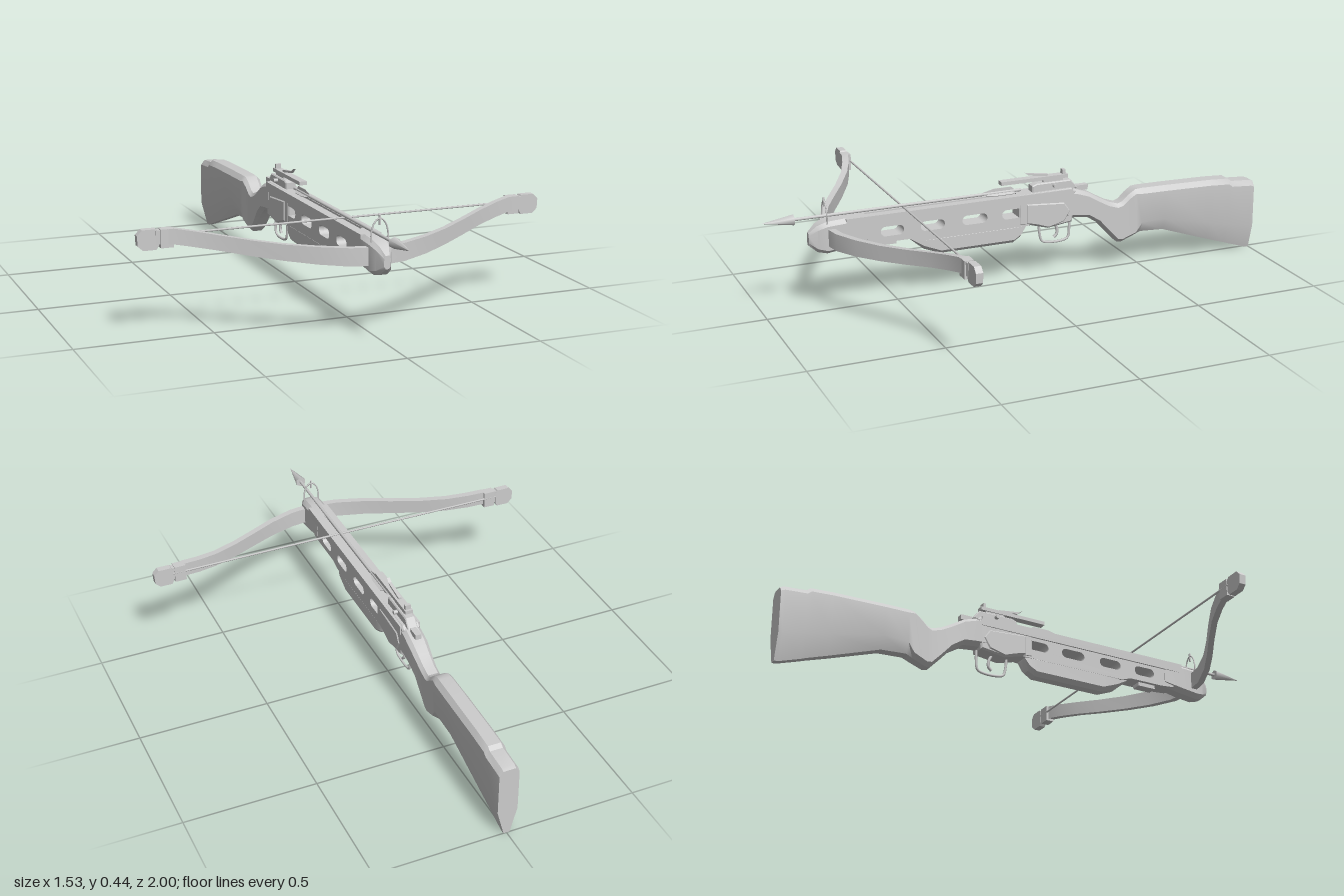
import * as THREE from 'three';
import { toCreasedNormals, mergeVertices } from 'three/addons/utils/BufferGeometryUtils.js';

const material = new THREE.MeshStandardMaterial({ color: 0xcccccc });
const thin = new THREE.MeshStandardMaterial({ color: 0xcccccc, side: THREE.DoubleSide });

function add(parent, name, geometry, mat = material) {
  const mesh = new THREE.Mesh(geometry, mat);
  mesh.name = name;
  parent.add(mesh);
  return mesh;
}

// Skin a list of closed rings of [x, y, z] points, capped at both ends.
function loft(rings, crease = 0.5) {
  const n = rings[0].length, index = [], last = (rings.length - 1) * n;
  for (let i = 0; i < rings.length - 1; i++) {
    for (let j = 0; j < n; j++) {
      const a = i * n + j, b = i * n + (j + 1) % n;
      index.push(a, a + n, b, b, a + n, b + n);
    }
  }
  for (let k = 1; k < n - 1; k++) index.push(0, k, k + 1, last, last + k + 1, last + k);
  const g = new THREE.BufferGeometry();
  g.setAttribute('position', new THREE.Float32BufferAttribute(rings.flat(2), 3));
  g.setIndex(index);
  return toCreasedNormals(g, crease);
}

// Chamfered section: z, top, bottom, half width, top chamfer, bottom chamfer.
function section([z, top, bot, w, ct = 0.015, cb = 0.015, topW = 0.62, botW = 0.5]) {
  const half = [[w * botW, bot], [w, bot + cb], [w, top - ct], [w * topW, top]];
  return [...half, ...half.map(([x, y]) => [-x, y]).reverse()].map(([x, y]) => [x, y, z]);
}

// Side outline given as [z, y] points, extruded across x.
function side(points, halfWidth, bevel = 0, holes = []) {
  const shape = new THREE.Shape(points.map(p => new THREE.Vector2(...p)));
  shape.holes = holes;
  const depth = 2 * (halfWidth - bevel);
  const g = new THREE.ExtrudeGeometry(shape, {
    depth, bevelEnabled: bevel > 0, bevelSize: bevel, bevelThickness: bevel,
    bevelOffset: -bevel, bevelSegments: 1, curveSegments: 8,
  });
  return g.translate(0, 0, -depth / 2).rotateY(-Math.PI / 2);
}

function slot(z0, z1, y0, y1) {
  const r = (y1 - y0) / 2, y = (y0 + y1) / 2, p = new THREE.Path();
  p.absarc(z1 - r, y, r, -Math.PI / 2, Math.PI / 2);
  p.absarc(z0 + r, y, r, Math.PI / 2, Math.PI * 1.5);
  p.closePath();
  return p;
}

function box(w, h, d, x, y, z) {
  return new THREE.BoxGeometry(w, h, d).translate(x, y, z);
}

function tube(points, radius, segments = 24, closed = false) {
  const curve = new THREE.CatmullRomCurve3(points.map(p => new THREE.Vector3(...p)), closed);
  return new THREE.TubeGeometry(curve, segments, radius, 6, closed);
}

// Cylinder or cone lying along z, from z0 to z1.
function rod(z0, z1, r0, r1, y, sides = 8) {
  return new THREE.CylinderGeometry(r1, r0, z1 - z0, sides).rotateX(Math.PI / 2).translate(0, y, (z0 + z1) / 2);
}

export function createModel() {
  const model = new THREE.Group();
  model.name = 'crossbow';

  // Shoulder stock with wrist and pistol grip
  const stock = [
    [-0.18, 0.36, 0.24, 0.037], [-0.22, 0.352, 0.238, 0.037], [-0.27, 0.335, 0.232, 0.038],
    [-0.32, 0.305, 0.2, 0.034], [-0.36, 0.283, 0.155, 0.032], [-0.4, 0.27, 0.113, 0.031],
    [-0.42, 0.277, 0.11, 0.032], [-0.445, 0.3, 0.12, 0.034], [-0.475, 0.32, 0.132, 0.037],
    [-0.5, 0.322, 0.143, 0.039, 0.02, 0.04], [-0.6, 0.321, 0.137, 0.04, 0.02, 0.05, 0.62, 0.45],
    [-0.8, 0.317, 0.068, 0.04, 0.02, 0.075, 0.62, 0.38], [-0.885, 0.312, 0.04, 0.04, 0.02, 0.085, 0.62, 0.34],
    [-0.9, 0.3, 0.034, 0.04, 0.02, 0.09, 0.62, 0.32], [-0.985, 0.294, 0.006, 0.04, 0.02, 0.1, 0.62, 0.3],
    [-1, 0.288, 0.006, 0.038, 0.02, 0.1, 0.62, 0.3],
  ];
  add(model, 'stock', loft(stock.map(section), 0.6));

  // Receiver with raised side panel
  add(model, 'receiver', side([[0.02, 0.36], [0.02, 0.24], [-0.03, 0.235], [-0.1, 0.215],
    [-0.2, 0.228], [-0.215, 0.35], [-0.2, 0.362]], 0.036, 0.006));
  add(model, 'receiverPanel', side([[-0.01, 0.322], [-0.01, 0.245], [-0.05, 0.235], [-0.1, 0.218],
    [-0.165, 0.235], [-0.19, 0.275], [-0.165, 0.31]], 0.04, 0.004));

  // Fore-end with four slots, and the rail on top of it
  const slots = [[0.48, 0.57], [0.32, 0.415], [0.15, 0.25], [0.0, 0.09]].map(([a, b]) => slot(a, b, 0.273, 0.31));
  add(model, 'foreEnd', side([[0.66, 0.328], [0.66, 0.255], [0.6, 0.25], [0.46, 0.25],
    [0.42, 0.236], [-0.02, 0.236], [-0.02, 0.328]], 0.034, 0, slots));
  add(model, 'railLeft', box(0.034, 0.036, 0.9, 0.023, 0.342, 0.25));
  add(model, 'railRight', box(0.034, 0.036, 0.9, -0.023, 0.342, 0.25));
  add(model, 'railGroove', box(0.014, 0.022, 0.9, 0, 0.336, 0.25));
  add(model, 'slingBlock', box(0.04, 0.03, 0.075, 0, 0.25, 0.543));

  // Hand grip below the fore-end
  add(model, 'handGrip', loft([
    [0.45, 0.25, 0.24, 0.02, 0.003, 0.003], [0.4, 0.25, 0.198, 0.032], [0.335, 0.25, 0.172, 0.034],
    [0.04, 0.25, 0.172, 0.034], [0.01, 0.25, 0.19, 0.032], [-0.01, 0.25, 0.23, 0.028, 0.004, 0.004],
  ].map(section)));

  // Tapered nose holding the bow
  add(model, 'nose', loft([
    [0.835, 0.315, 0.268, 0.012, 0.01, 0.01], [0.805, 0.342, 0.242, 0.028], [0.77, 0.356, 0.234, 0.04],
    [0.7, 0.36, 0.243, 0.04], [0.62, 0.36, 0.257, 0.036],
  ].map(section)));

  // Recurved bow, mirrored from half stations: x, z, bottom, top
  const halfBow = [[0, 0.762, 0.266, 0.33], [0.1, 0.747, 0.268, 0.332], [0.2, 0.707, 0.275, 0.336],
    [0.3, 0.652, 0.284, 0.341], [0.4, 0.592, 0.296, 0.351], [0.5, 0.537, 0.312, 0.366],
    [0.58, 0.505, 0.325, 0.38], [0.64, 0.488, 0.335, 0.39], [0.7, 0.478, 0.338, 0.386]];
  const bow = [...halfBow.slice(1).reverse().map(([x, ...r]) => [-x, ...r]), ...halfBow];
  add(model, 'bow', loft(bow.map(([x, z, lo, hi]) => {
    const t = 0.013;
    return [[x, lo, z + t], [x, hi, z + t], [x, hi, z - t], [x, lo, z - t]];
  })));

  // Bow tips and string
  for (const s of [1, -1]) {
    const outline = [[0.69, 0.332], [0.698, 0.319], [0.745, 0.319], [0.764, 0.336],
      [0.766, 0.372], [0.748, 0.391], [0.698, 0.391], [0.69, 0.38]];
    const shape = new THREE.Shape(outline.map(([x, y]) => new THREE.Vector2(s * x, y)));
    const tip = new THREE.ExtrudeGeometry(shape, { depth: 0.026, bevelEnabled: false });
    add(model, s > 0 ? 'leftTip' : 'rightTip', tip.translate(0, 0, 0.464));
    add(model, 'tipCollar', box(0.045, 0.065, 0.034, s * 0.662, 0.357, 0.481));
  }
  add(model, 'string', new THREE.CylinderGeometry(0.004, 0.004, 1.38, 6).rotateZ(Math.PI / 2).translate(0, 0.363, 0.467));

  // Bolt: shaft, head and fletching
  const bolt = new THREE.Group();
  bolt.name = 'bolt';
  model.add(bolt);
  add(bolt, 'shaft', rod(0.0, 0.9, 0.006, 0.006, 0.372));
  add(bolt, 'head', rod(0.885, 1, 0.021, 0.001, 0.372, 6));
  for (let i = 0; i < 3; i++) {
    const vane = side([[0.165, 0.004], [0.11, 0.017], [0.04, 0.017], [0.025, 0.004]], 0.0015);
    add(bolt, 'vane', vane.rotateZ(i * Math.PI * 2 / 3).translate(0, 0.372, 0));
  }

  // Front sight hoop with bead post
  add(model, 'frontSightHoop', tube([[-0.03, 0.345, 0.77], [-0.031, 0.38, 0.77], [-0.02, 0.415, 0.77],
    [0, 0.43, 0.77], [0.02, 0.415, 0.77], [0.031, 0.38, 0.77], [0.03, 0.345, 0.77]], 0.003));
  add(model, 'frontSightBead', box(0.006, 0.035, 0.006, 0, 0.424, 0.77));

  // Sight base and plate over the receiver
  add(model, 'sightBase', side([[-0.04, 0.355], [-0.04, 0.385], [-0.06, 0.392], [-0.2, 0.392], [-0.23, 0.355]], 0.02, 0.004));
  add(model, 'sightPlate', box(0.03, 0.014, 0.275, 0, 0.408, -0.053));
  add(model, 'sightFoot', box(0.022, 0.025, 0.08, 0, 0.395, -0.13));
  add(model, 'sightLeaf', side([[-0.005, 0.445], [-0.02, 0.434], [-0.11, 0.422], [-0.11, 0.413], [-0.03, 0.425]], 0.006));
  add(model, 'rearSight', box(0.022, 0.022, 0.012, 0, 0.422, -0.175));
  add(model, 'cockingPin', new THREE.CylinderGeometry(0.008, 0.008, 0.072, 8).rotateZ(Math.PI / 2).translate(0, 0.378, -0.13));
  add(model, 'safetyKnob', box(0.024, 0.02, 0.05, 0, 0.352, -0.25));

  // Trigger and guard
  add(model, 'triggerGuard', tube([[0, 0.23, -0.075], [0, 0.19, -0.078], [0, 0.155, -0.088], [0, 0.146, -0.115],
    [0, 0.146, -0.175], [0, 0.155, -0.197], [0, 0.19, -0.203], [0, 0.232, -0.203]], 0.005, 32));
  add(model, 'trigger', tube([[0, 0.23, -0.135], [0, 0.2, -0.15], [0, 0.175, -0.15], [0, 0.163, -0.138]], 0.006, 10));

  return model;
}
